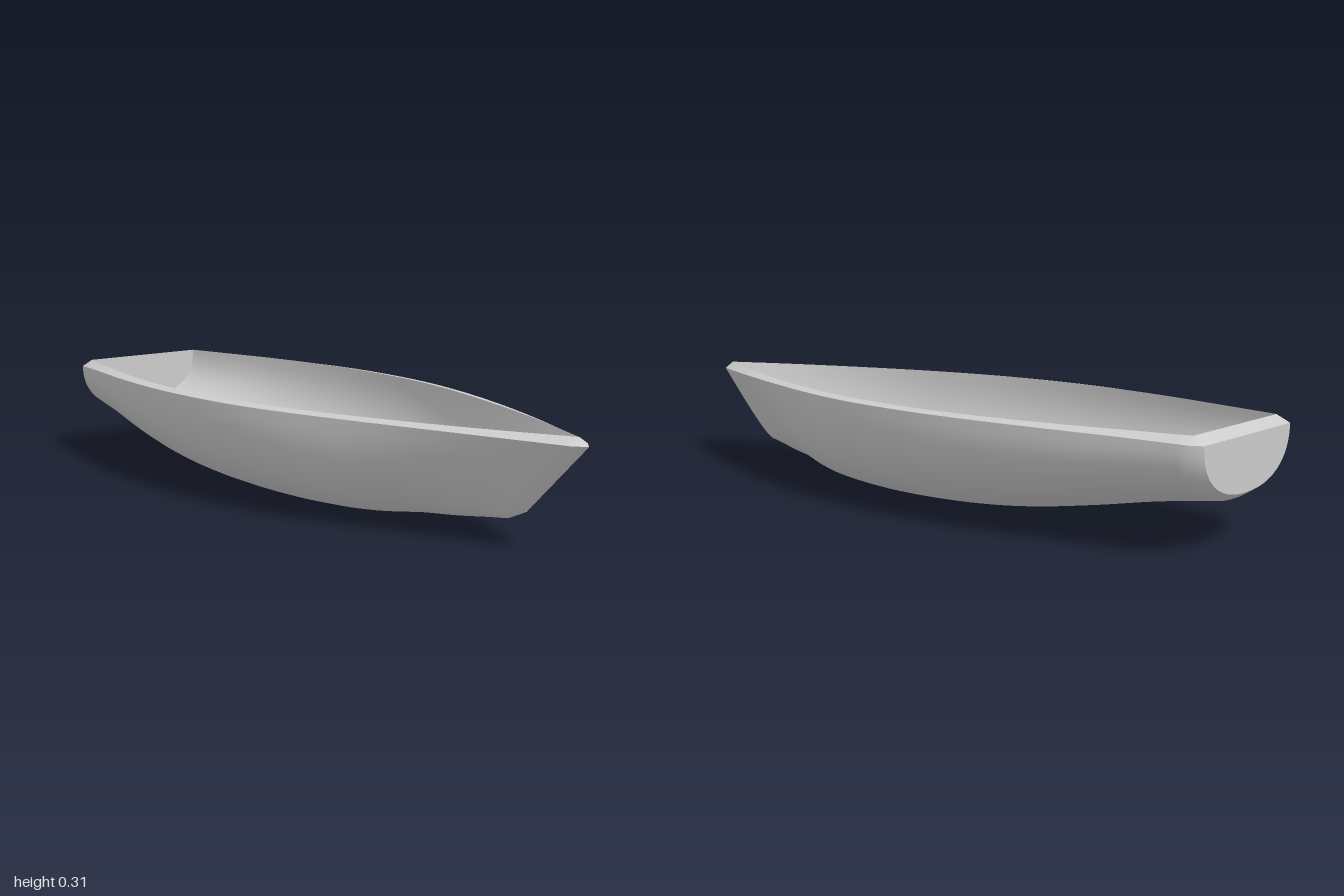
import * as THREE from 'three';
import { toCreasedNormals } from 'three/addons/utils/BufferGeometryUtils.js';

const STEPS = 56;   // stations along the hull
const SIDES = 40;   // divisions around one section
const WALL = 0.033;
const RIM_Y = 0.316;

// Surface through equally long rows of points
function loft(rows, flip = false) {
  const n = rows[0].length;
  const index = [];
  for (let i = 0; i < rows.length - 1; i++) {
    for (let j = 0; j < n - 1; j++) {
      const a = i * n + j, b = a + n, c = b + 1, d = a + 1;
      if (flip) index.push(a, d, b, b, d, c);
      else index.push(a, b, d, b, c, d);
    }
  }
  const geometry = new THREE.BufferGeometry().setFromPoints(rows.flat());
  geometry.setIndex(index);
  return toCreasedNormals(geometry, 0.5);
}

// Rounded U section, swept forward with the raked stem near the bow
function section({ s, keel, half, top }) {
  const rake = 0.95 * THREE.MathUtils.smoothstep(s, 0.2, 0.95);
  const power = 2 / (2.3 + 0.7 * THREE.MathUtils.smoothstep(s, 0.6, 0.97));
  const points = [];
  for (let j = 0; j <= SIDES; j++) {
    const angle = (j / SIDES) * Math.PI;
    const c = Math.cos(angle);
    const drop = (top - keel) * Math.pow(Math.max(0, Math.sin(angle)), power);
    const z = half * Math.sign(c) * Math.pow(Math.abs(c), power);
    points.push(new THREE.Vector3(s - rake * drop, top - drop, z));
  }
  return points;
}

// Flat panel between a section and the centre plane
const panel = (ring, flip) =>
  loft([ring.map((p) => new THREE.Vector3(p.x, p.y, 0)), ring], flip);

// Closed loop along the upper edges of a list of sections
function upperEdge(rings) {
  const left = rings.map((r) => r[0]);
  const right = rings.map((r) => r[SIDES]).reverse();
  return [...left, ...right, left[0]];
}

export function createModel() {
  const group = new THREE.Group();
  const material = new THREE.MeshStandardMaterial({ color: 0xcccccc });
  const add = (name, geometry) => {
    const mesh = new THREE.Mesh(geometry, material);
    mesh.name = name;
    group.add(mesh);
  };

  // Station position, keel height and half breadth
  const lines = new THREE.CatmullRomCurve3([
    [-0.97, 0.13, 0.242], [-0.8, 0.104, 0.282], [-0.6, 0.064, 0.327],
    [-0.4, 0.03, 0.357], [-0.2, 0.011, 0.368], [0.05, 0.003, 0.352],
    [0.25, 0.008, 0.311], [0.45, 0.02, 0.25], [0.65, 0.036, 0.176],
    [0.82, 0.05, 0.104], [0.97, 0.072, 0.032],
  ].map((p) => new THREE.Vector3(...p)));
  const stations = lines.getPoints(STEPS).map((p) => ({ s: p.x, keel: p.y, half: p.z }));

  // Bevelled ends at the stern and stem
  stations.unshift({ s: -1, keel: 0.15, half: 0.218 });
  stations.push({ s: 1, keel: 0.1, half: 0 });

  const outer = stations.map((st) =>
    section({ ...st, top: 0.311 - 0.015 * Math.pow(Math.abs(st.s), 3) }));
  const inner = stations.map((st) => section({
    s: THREE.MathUtils.clamp(st.s, -0.965, 0.97),
    keel: st.s < -0.965 ? 0.16 : Math.min(st.keel, 0.072) === st.keel || st.s < 0 ? st.keel + 0.03 : 0.102,
    half: st.s < -0.965 ? 0.209 : Math.max(0, st.half - WALL),
    top: RIM_Y,
  }));

  add('outerHull', loft(outer, true));
  add('innerHull', loft(inner));
  add('transomOutside', panel(outer[0], true));
  add('transomInside', panel(inner[0], false));
  add('gunwale', loft([upperEdge(inner), upperEdge(outer)]));
  return group;
}
